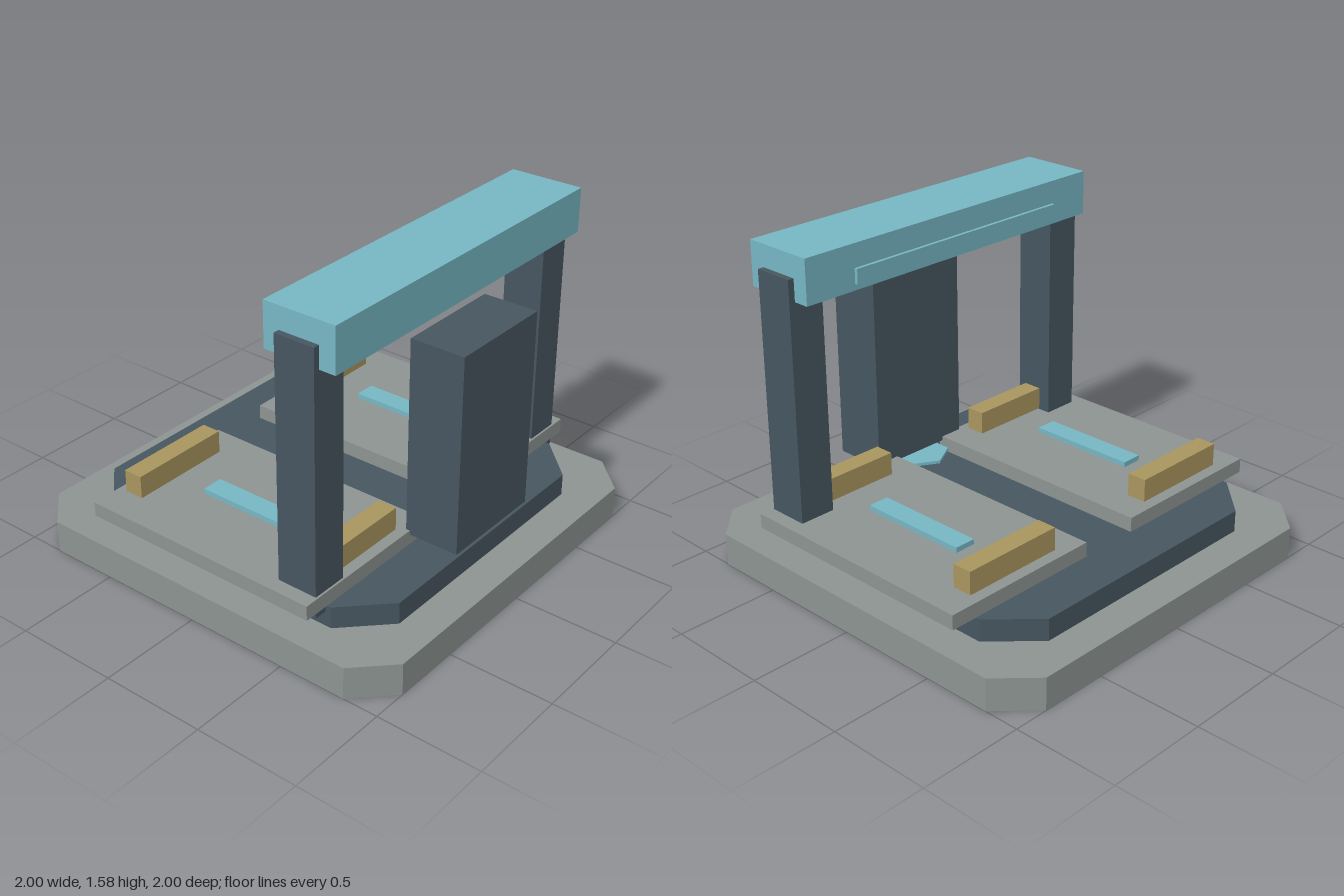
import * as THREE from 'three';

const material = (name, color) => {
  const m = new THREE.MeshStandardMaterial({ color });
  m.name = name;
  return m;
};

export function createModel() {
  const model = new THREE.Group();
  model.name = 'gantryPlatform';

  const grey = material('light grey', 0x8c9492);
  const slate = material('dark slate', 0x465660);
  const cyan = material('pale cyan', 0x76b7c4);
  const tan = material('tan', 0xa9965f);

  const add = (name, geometry, mat) => {
    const mesh = new THREE.Mesh(geometry, mat);
    mesh.name = name;
    model.add(mesh);
    return mesh;
  };

  // Box given by its limits on each axis
  const box = (name, mat, [x0, x1], [y0, y1], [z0, z1]) => {
    const mesh = add(name, new THREE.BoxGeometry(x1 - x0, y1 - y0, z1 - z0), mat);
    mesh.position.set((x0 + x1) / 2, (y0 + y1) / 2, (z0 + z1) / 2);
  };

  // Square slab with cut corners: h is the half width, c the half length of a straight side
  const slab = (name, mat, h, c, y0, y1) => {
    const corners = [[h, -c], [h, c], [c, h], [-c, h], [-h, c], [-h, -c], [-c, -h], [c, -h]];
    const shape = new THREE.Shape(corners.map(([x, y]) => new THREE.Vector2(x, y)));
    const geometry = new THREE.ExtrudeGeometry(shape, { depth: y1 - y0, bevelEnabled: false });
    geometry.rotateX(-Math.PI / 2);
    add(name, geometry, mat).position.y = y0;
  };

  // Stepped base
  slab('base', grey, 1, 0.83, 0, 0.155);
  slab('upperTier', slate, 0.83, 0.63, 0.155, 0.26);

  // Decks, light strips, stops and posts on both sides
  for (const [side, s] of [['left', 1], ['right', -1]]) {
    const span = (a, b) => (s > 0 ? [a, b] : [-b, -a]);
    box(side + 'Deck', grey, span(0.15, 0.96), [0.26, 0.33], [-0.61, 0.61]);
    box(side + 'DeckStrip', cyan, span(0.503, 0.607), [0.335, 0.36], [-0.275, 0.275]);
    box(side + 'RearStop', tan, span(0.3, 0.81), [0.335, 0.445], [-0.56, -0.465]);
    box(side + 'FrontStop', tan, span(0.3, 0.81), [0.335, 0.445], [0.465, 0.56]);
    box(side + 'Post', slate, span(0.713, 0.89), [0.225, 1.47], [0.403, 0.6]);
  }

  // Overhead beam with a light bar set off its rear face
  box('beam', cyan, [-0.86, 0.86], [1.365, 1.575], [0.325, 0.68]);
  box('beamLightBar', cyan, [-0.613, 0.613], [1.405, 1.475], [0.288, 0.304]);

  // Central cabinet hovering over a six-sided plate
  box('cabinet', slate, [-0.265, 0.265], [0.31, 1.255], [0.59, 0.855]);
  const plate = add('hexPlate', new THREE.CylinderGeometry(0.142, 0.142, 0.015, 6).toNonIndexed(), cyan);
  plate.geometry.computeVertexNormals();
  plate.position.set(0, 0.293, 0.595);

  return model;
}
